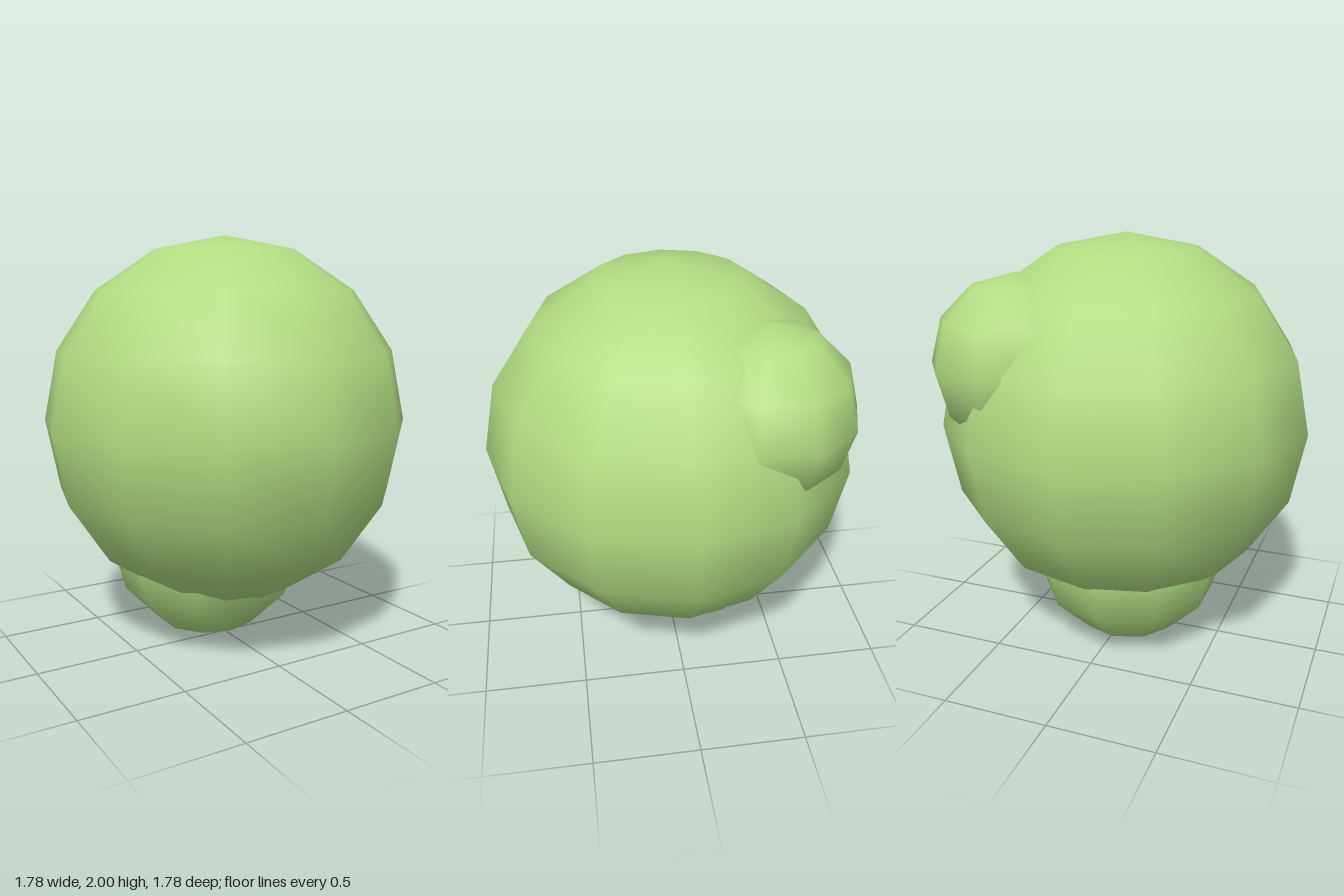
import * as THREE from 'three';

// Three overlapping smooth, low-poly balls: large body, bump on the upper back left, foot below.
export function createModel() {
  const model = new THREE.Group();
  model.name = 'lumpyBall';
  const material = new THREE.MeshStandardMaterial({ color: 0xb0dc82 });

  function ball(name, radius, sides, rings, position) {
    const geometry = new THREE.SphereGeometry(radius, sides, rings);
    geometry.rotateY(Math.PI / 2); // a column of corners faces front and back
    const mesh = new THREE.Mesh(geometry, material);
    mesh.name = name;
    mesh.position.set(...position);
    model.add(mesh);
  }

  ball('body', 0.89, 12, 8, [0, 1.11, 0]);
  ball('upperBump', 0.41, 10, 6, [0.38, 1.435, -0.375]);
  ball('lowerBump', 0.49, 10, 6, [-0.05, 0.493, -0.09]);

  return model;
}
